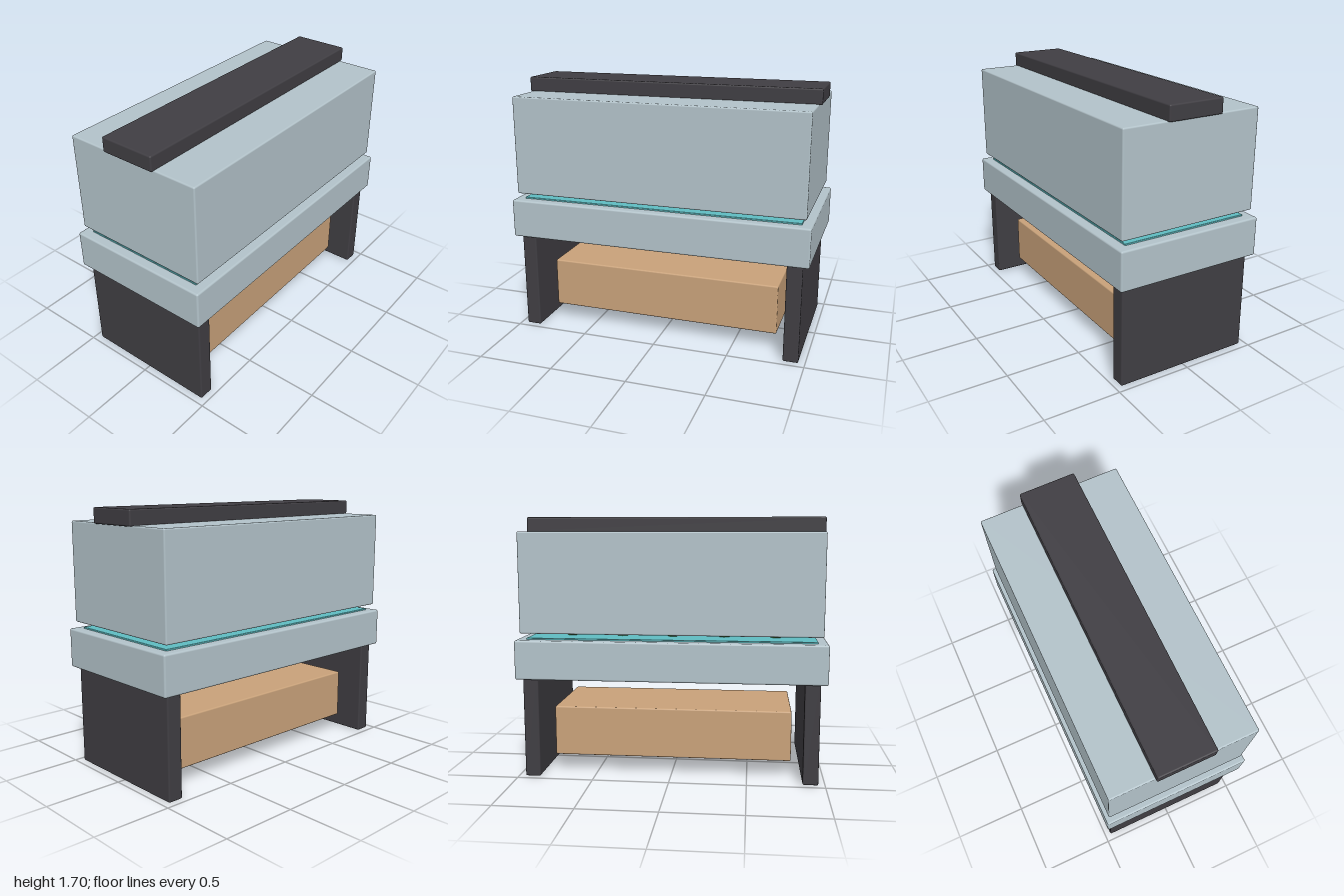
import * as THREE from 'three';
import { RoundedBoxGeometry } from 'three/addons/geometries/RoundedBoxGeometry.js';

const paint = (name, color, side = THREE.FrontSide) => {
  const m = new THREE.MeshStandardMaterial({ color, side });
  m.name = name;
  return m;
};

export function createModel() {
  const group = new THREE.Group();
  group.name = 'planterCabinet';

  const glass = paint('paleBlueGrey', 0xb3c3ca);
  const metal = paint('charcoal', 0x403e43);
  const wood = paint('tan', 0xc9a27a);
  const water = paint('teal', 0x5fbcc2);
  const leafGreen = paint('leafGreen', 0x2a5f22, THREE.DoubleSide);

  // Soft-edged block spanning y0..y1, centred on z = 0
  const block = (name, mat, w, d, y0, y1, x = 0, r = 0.01) => {
    const mesh = new THREE.Mesh(new RoundedBoxGeometry(w, y1 - y0, d, 2, r), mat);
    mesh.name = name;
    mesh.position.set(x, (y0 + y1) / 2, 0);
    group.add(mesh);
  };

  // Stand and storage crate
  block('leftLeg', metal, 0.1, 0.92, 0, 0.66, 0.907);
  block('rightLeg', metal, 0.1, 0.92, 0, 0.66, -0.907);
  block('crate', wood, 1.574, 0.635, 0.11, 0.443);

  // Growing tray with its water surface
  block('tray', glass, 2, 0.99, 0.655, 0.91, 0, 0.012);
  block('waterSurface', water, 1.87, 0.86, 0.9, 0.92, 0, 0.004);

  // Cover and lamp bar
  block('cover', glass, 1.934, 0.944, 0.953, 1.603, 0, 0.01);
  block('lampBar', metal, 1.974, 0.372, 1.598, 1.697);

  // Seedlings: a short stem and a rosette of flat, slightly raised leaves
  const stemGeo = new THREE.CylinderGeometry(0.04, 0.035, 0.03, 10);
  const leafGeo = new THREE.SphereGeometry(1, 10, 6);
  leafGeo.scale(0.052, 0.006, 0.026);
  leafGeo.translate(0.04, 0, 0);
  const leaves = 6;
  for (let i = 0; i < 5; i++) {
    for (const z of [-0.232, 0.232]) {
      const plant = new THREE.Group();
      plant.name = 'seedling';
      plant.position.set((i - 2) * 0.337 - 0.003, 0.915, z);
      const stem = new THREE.Mesh(stemGeo, leafGreen);
      stem.name = 'stem';
      stem.position.y = 0.013;
      plant.add(stem);
      for (let k = 0; k < leaves; k++) {
        const leaf = new THREE.Mesh(leafGeo, leafGreen);
        leaf.name = 'leaf';
        leaf.position.y = 0.025;
        leaf.rotation.set(0.25, (k / leaves) * Math.PI * 2, 0.1, 'YZX');
        plant.add(leaf);
      }
      group.add(plant);
    }
  }
  return group;
}
